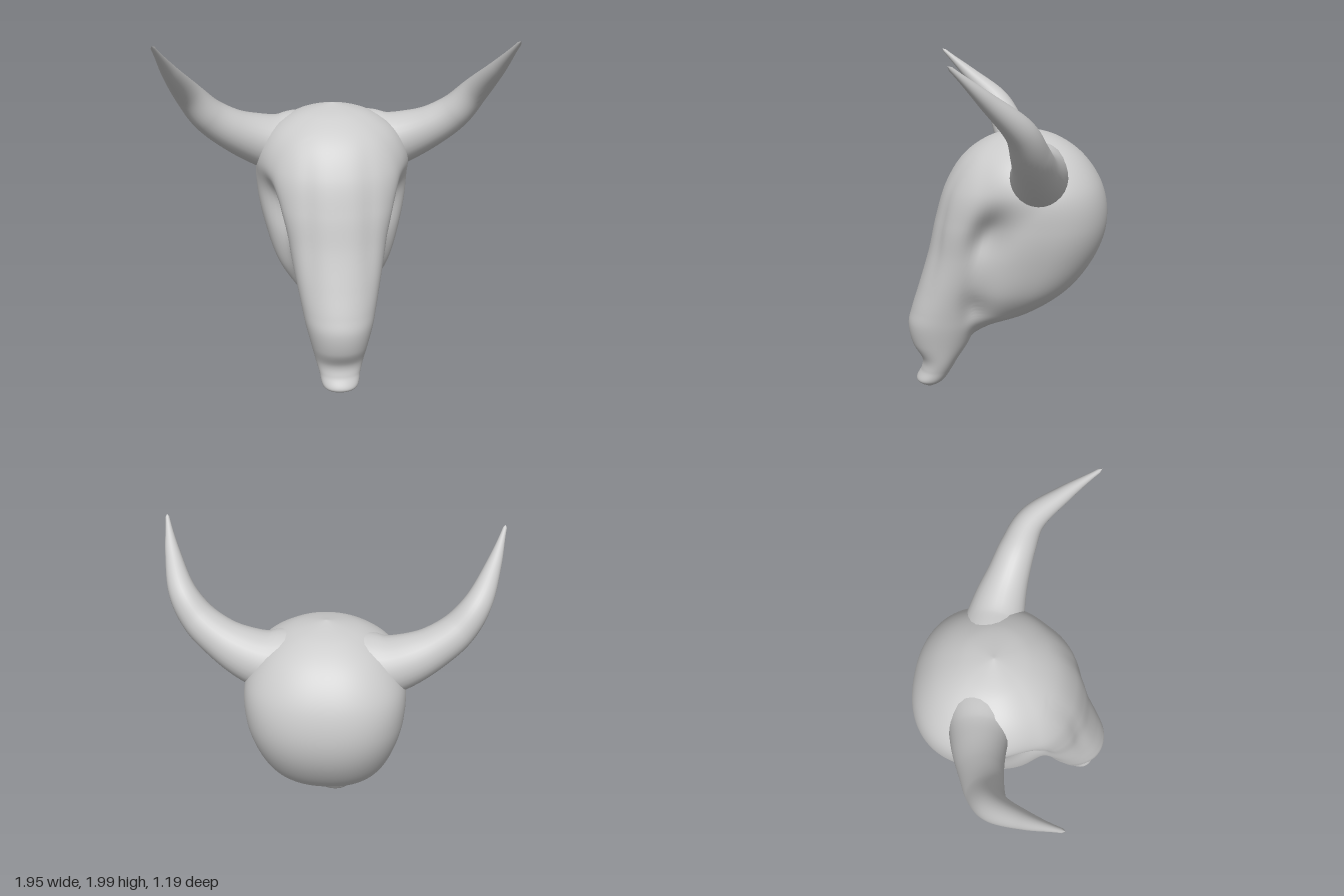
import * as THREE from 'three';

// Catmull-Rom through the rows of a table, t from 0 to 1
function sample(rows, t) {
  const f = t * (rows.length - 1);
  const i = Math.min(Math.floor(f), rows.length - 2), u = f - i;
  const at = k => rows[THREE.MathUtils.clamp(k, 0, rows.length - 1)];
  return at(i).map((b, c) => {
    const d = at(i + 1)[c], v0 = (d - at(i - 1)[c]) / 2, v1 = (at(i + 2)[c] - b) / 2;
    return (2 * b - 2 * d + v0 + v1) * u ** 3 + (3 * d - 3 * b - 2 * v0 - v1) * u * u + v0 * u + b;
  });
}

// Half width at z of a rounded section running from back to front
function lobe(z, front, back, width, power) {
  const r = (front - back) / 2;
  if (r <= 0 || width <= 0) return 0;
  const d = Math.abs(z - (front + back) / 2) / r;
  return d >= 1 ? 0 : width * (1 - d ** power) ** (1 / power);
}
const bump = (d, s) => Math.exp(-((d / s) ** 2));

// Face levels: y, front z, back z, half width
const FACE = [
  [0.00, 0.49, 0.46, 0.04],
  [0.04, 0.555, 0.39, 0.10],
  [0.11, 0.525, 0.34, 0.12],
  [0.18, 0.52, 0.30, 0.14],
  [0.28, 0.575, 0.235, 0.165],
  [0.40, 0.597, 0.185, 0.195],
  [0.50, 0.575, 0.16, 0.215],
  [0.65, 0.527, 0.11, 0.245],
  [0.85, 0.467, 0.035, 0.285],
  [1.05, 0.422, -0.06, 0.34],
  [1.25, 0.36, -0.23, 0.385],
  [1.42, 0.253, -0.285, 0.33],
  [1.53, 0.095, -0.24, 0.19],
  [1.58, -0.10, -0.11, 0.005],
];

// Cranium at the same levels: front z, back z, half width
const CRANIUM = [
  [0.48, 0.47, 0], [0.45, 0.43, 0], [0.42, 0.38, 0], [0.39, 0.33, 0],
  [0.35, 0.26, 0.02], [0.30, 0.09, 0.12], [0.27, -0.17, 0.23], [0.265, -0.385, 0.342],
  [0.24, -0.53, 0.413], [0.205, -0.588, 0.452], [0.195, -0.56, 0.447], [0.16, -0.453, 0.35],
  [0.06, -0.295, 0.195], [-0.10, -0.11, 0.005],
];

// Skull: horizontal sections blending a narrow face with a round cranium
function skullGeometry() {
  const ROWS = 143, N = 96, pos = [], index = [];
  for (let i = 0; i <= ROWS; i++) {
    const [y, fF, fB, fW] = sample(FACE, i / ROWS);
    const [cF, cB, cW] = sample(CRANIUM, i / ROWS);
    const front = Math.max(fF, cF), back = Math.min(fB, cB);
    for (let j = 0; j < N; j++) {
      const a = j / N * Math.PI * 2;
      let z = (front + back) / 2 + (front - back) / 2 * Math.cos(a);
      const face = lobe(z, fF, fB, fW, 2.1), cran = lobe(z, cF, cB, cW, 2.25);
      let x = (face ** 6 + cran ** 6) ** (1 / 6);
      // eye sockets behind the brow, with a smaller hollow under the cheek
      const inset = Math.min(1, x / 0.2);
      x -= 0.07 * bump(y - 1.0 - (0.15 - z) * 0.6, 0.13) * bump(z - 0.13, 0.10) * inset;
      x -= 0.025 * bump(y - 0.55, 0.1) * bump(z - 0.2, 0.08) * inset;
      // shallow grooves beside the nose bridge
      if (z > 0.2) z -= 0.012 * bump(x - 0.17, 0.045) * bump(y - 0.95, 0.35);
      pos.push(j < N / 2 ? x : -x, y, z);
    }
  }
  for (let i = 0; i < ROWS; i++) for (let j = 0; j < N; j++) {
    const a = i * N + j, b = i * N + (j + 1) % N;
    index.push(a, b, b + N, a, b + N, a + N);
  }
  // close both ends
  const top = ROWS * N;
  for (let j = 1; j < N - 1; j++) index.push(0, j + 1, j, top, top + j, top + j + 1);
  const g = new THREE.BufferGeometry();
  g.setAttribute('position', new THREE.Float32BufferAttribute(pos, 3));
  g.setIndex(index);
  g.computeVertexNormals();
  return g;
}

// Horn path: x, y, z, radius
const HORN = [
  [0.22, 1.33, -0.15, 0.195], [0.34, 1.335, -0.145, 0.17], [0.46, 1.37, -0.13, 0.148],
  [0.59, 1.43, -0.10, 0.122], [0.72, 1.525, -0.06, 0.103], [0.82, 1.655, 0.00, 0.08],
  [0.905, 1.82, 0.17, 0.045], [0.97, 1.99, 0.355, 0.010],
];

// Horn: a tube whose rings are scaled to the tapering radius
function hornGeometry(side) {
  const SEG = 60, SIDES = 28;
  const curve = new THREE.CatmullRomCurve3(HORN.map(([x, y, z]) => new THREE.Vector3(side * x, y, z)));
  const g = new THREE.TubeGeometry(curve, SEG, 1, SIDES);
  const p = g.attributes.position, v = new THREE.Vector3();
  for (let i = 0; i <= SEG; i++) {
    const t = curve.getUtoTmapping(i / SEG), c = curve.getPoint(t);
    const r = i === SEG ? 0 : sample(HORN, t)[3];
    for (let j = 0; j <= SIDES; j++) {
      const k = i * (SIDES + 1) + j;
      v.fromBufferAttribute(p, k).sub(c).multiplyScalar(r).add(c);
      p.setXYZ(k, v.x, v.y, v.z);
    }
  }
  return g;
}

export function createModel() {
  const group = new THREE.Group();
  group.name = 'hornedSkull';
  const material = new THREE.MeshStandardMaterial({ color: 0xcccccc });
  const add = (name, geometry) => {
    const mesh = new THREE.Mesh(geometry, material);
    mesh.name = name;
    group.add(mesh);
  };
  add('skull', skullGeometry());
  add('leftHorn', hornGeometry(1));
  add('rightHorn', hornGeometry(-1));
  return group;
}
